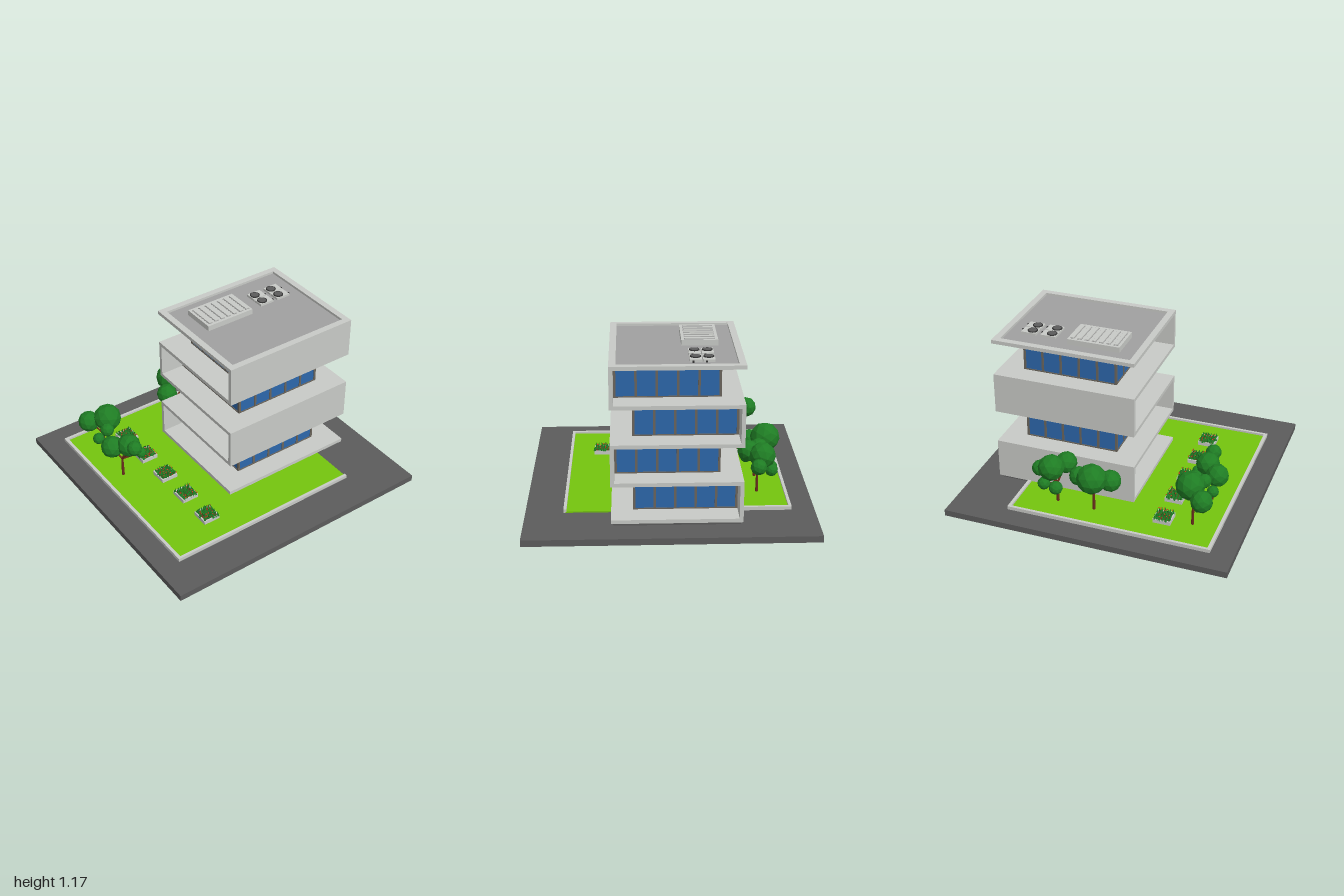
import * as THREE from 'three';

const mat = (name, color, flat = false) => {
  const m = new THREE.MeshStandardMaterial({ color, flatShading: flat });
  m.name = name;
  return m;
};

export function createModel() {
  const model = new THREE.Group();
  model.name = 'officeBuilding';
  const asphalt = mat('asphalt', 0x5c5c5c), concrete = mat('concrete', 0xc8cac6);
  const deckGrey = mat('roofGrey', 0xa0a0a0), grass = mat('grass', 0x74c40e);
  const glass = mat('glass', 0x2d67ab), frame = mat('windowFrame', 0x6b655c);
  const leaf = mat('foliage', 0x1f7d24, true), bark = mat('bark', 0x6b2f1c);
  const red = mat('flowerRed', 0xd83a1c, true), dark = mat('darkMetal', 0x343434);

  const add = (name, geo, material, parent = model) => {
    const m = new THREE.Mesh(geo, material);
    m.name = name;
    parent.add(m);
    return m;
  };
  // Box given by its minimum and maximum on each axis
  const box = (name, material, x0, x1, y0, y1, z0, z1, parent) => {
    const m = add(name, new THREE.BoxGeometry(x1 - x0, y1 - y0, z1 - z0), material, parent);
    m.position.set((x0 + x1) / 2, (y0 + y1) / 2, (z0 + z1) / 2);
    return m;
  };
  // Thin rod between two points
  const rod = (name, a, b, r0, r1, parent) => {
    const d = b.clone().sub(a);
    const m = add(name, new THREE.CylinderGeometry(r1, r0, d.length(), 7), bark, parent);
    m.position.copy(a).addScaledVector(d, 0.5);
    m.quaternion.setFromUnitVectors(new THREE.Vector3(0, 1, 0), d.normalize());
  };
  let seed = 7;
  const rand = () => (seed = (seed * 16807) % 2147483647) / 2147483647;

  // Site: paving, lawn and kerbs
  box('paving', asphalt, -1, 1, 0, 0.045, -0.97, 0.97);
  box('lawn', grass, -0.83, 0.6, 0.04, 0.055, -0.8, 0.705);
  box('kerbLeft', concrete, -0.84, -0.818, 0.04, 0.07, -0.815, 0.715);
  box('kerbFront', concrete, -0.818, 0.6, 0.04, 0.07, 0.695, 0.715);
  box('kerbBack', concrete, -0.818, 0.6, 0.04, 0.07, -0.815, -0.795);
  box('kerbRight', concrete, 0.578, 0.6, 0.04, 0.07, -0.795, -0.46);

  // Folded concrete ribbon: slabs joined alternately by back and front walls
  const X0 = -0.195, X1 = 0.82, Z0 = -0.47, Z1 = 0.395, T = 0.026;
  const levels = [0.09, 0.35, 0.613, 0.877];
  const roofTop = 1.138, roofBase = 1.112;
  box('plinth', asphalt, X0 + 0.015, X1 - 0.015, 0.045, 0.066, Z0 + 0.015, Z1 - 0.015);
  levels.forEach((y, i) => {
    const top = i < 3 ? levels[i + 1] - T : roofBase;
    box('floorSlab', concrete, X0, X1, y - T, y, Z0, Z1);
    if (i % 2) box('frontWall', concrete, X0, X1, y, top, Z1 - T, Z1);
    else box('backWall', concrete, X0, X1, y, top, Z0, Z0 + T);
    glazing(y, top, i % 2 ? -0.327 : Z0 + T, i % 2 ? Z1 - T : 0.25);
  });

  // Glazed storey with rails and evenly spaced mullions
  function glazing(y0, y1, z0, z1) {
    const g = new THREE.Group();
    g.name = 'glazedStorey';
    model.add(g);
    const x0 = -0.02, x1 = 0.655, p = 0.005, w = 0.008, n = 5;
    box('glass', glass, x0 + p, x1 - p, y0, y1, z0 + p, z1 - p, g);
    for (const [a, b] of [[y0, y0 + 0.008], [y1 - 0.008, y1]]) {
      for (const z of [z0, z1 - w]) box('rail', frame, x0, x1, a, b, z, z + w, g);
      for (const x of [x0, x1 - w]) box('rail', frame, x, x + w, a, b, z0, z1, g);
    }
    for (let i = 0; i <= n; i++) {
      const mx = x0 + w + (x1 - x0 - 2 * w) * i / n, mz = z0 + w + (z1 - z0 - 2 * w) * i / n;
      for (const z of [z0, z1 - w]) box('mullion', frame, mx - w, mx + w, y0, y1, z, z + w, g);
      for (const x of [x0, x1 - w]) box('mullion', frame, x, x + w, y0, y1, mz - w, mz + w, g);
    }
  }

  // Roof with raised rim
  const rim = 0.045;
  box('roofSlab', concrete, X0, X1, roofBase, 1.117, Z0, Z1);
  box('roofDeck', deckGrey, X0 + rim, X1 - rim, 1.117, 1.121, Z0 + rim, Z1 - rim);
  box('rimFront', concrete, X0, X1, 1.117, roofTop, Z1 - rim, Z1);
  box('rimBack', concrete, X0, X1, 1.117, roofTop, Z0, Z0 + rim);
  box('rimLeft', concrete, X1 - rim, X1, 1.117, roofTop, Z0 + rim, Z1 - rim);
  box('rimRight', concrete, X0, X0 + rim, 1.117, roofTop, Z0 + rim, Z1 - rim);

  // Louvred vent housing
  box('ventHousing', concrete, -0.04, 0.332, 1.121, 1.16, -0.325, -0.08);
  for (let i = 0; i < 7; i++) {
    const x = -0.006 + i * 0.0515;
    box('ventSlot', deckGrey, x - 0.015, x + 0.015, 1.158, 1.162, -0.305, -0.1);
    box('ventBlade', concrete, x - 0.011, x + 0.011, 1.16, 1.167, -0.301, -0.104);
  }

  // Cooling units with round fans
  for (const x of [0.435, 0.578]) for (const z of [-0.243, -0.158]) {
    box('coolingUnit', concrete, x, x + 0.108, 1.121, 1.137, z - 0.039, z + 0.039);
    const ring = add('fan', new THREE.CylinderGeometry(0.035, 0.035, 0.008, 20), dark);
    ring.position.set(x + 0.038, 1.138, z);
    const grille = add('fanGrille', new THREE.CylinderGeometry(0.028, 0.028, 0.002, 20), asphalt);
    grille.position.set(x + 0.038, 1.1425, z);
    box('coolingPipe', dark, x + 0.108, x + 0.122, 1.121, 1.132, z + 0.01, z + 0.022);
  }

  // Planters with leaves and flowers
  for (const z of [-0.572, -0.311, -0.05, 0.211, 0.472]) {
    const g = new THREE.Group();
    g.name = 'planter';
    g.position.set(-0.447, 0, z);
    model.add(g);
    const h = 0.062, t = 0.01;
    for (const s of [-1, 1]) {
      box('planterSide', concrete, s * (h - t / 2) - t / 2, s * (h - t / 2) + t / 2, 0.05, 0.083, -h, h, g);
      box('planterEnd', concrete, -h + t, h - t, 0.05, 0.083, s * (h - t / 2) - t / 2, s * (h - t / 2) + t / 2, g);
    }
    box('soil', bark, -h + t, h - t, 0.05, 0.077, -h + t, h - t, g);
    for (let i = 0; i < 6; i++) for (let j = 0; j < 6; j++) {
      const x = (i - 2.5) * 0.02 + (rand() - 0.5) * 0.008, pz = (j - 2.5) * 0.02 + (rand() - 0.5) * 0.008;
      const plant = add('plantLeaf', new THREE.ConeGeometry(0.011, 0.036, 4), leaf, g);
      plant.position.set(x, 0.093, pz);
      plant.rotation.set((rand() - 0.5) * 0.8, rand() * 3, (rand() - 0.5) * 0.8);
      if (rand() < 0.4) {
        const flower = add('flower', new THREE.OctahedronGeometry(0.006), red, g);
        flower.position.set(x + 0.008, 0.098, pz + 0.008);
      }
    }
  }

  // Trees: trunk position, then foliage balls as [x, y, z, radius]
  const trees = [
    [-0.645, -0.56, [[-0.615, 0.345, -0.54, 0.1], [-0.72, 0.3, -0.63, 0.077],
      [-0.745, 0.27, -0.45, 0.042], [-0.68, 0.33, -0.435, 0.05]]],
    [-0.685, -0.235, [[-0.73, 0.295, -0.29, 0.08], [-0.64, 0.32, -0.21, 0.083],
      [-0.65, 0.36, -0.115, 0.055], [-0.57, 0.235, -0.27, 0.05], [-0.56, 0.23, -0.185, 0.038]]],
    [0.04, -0.62, [[0.026, 0.345, -0.69, 0.105], [-0.07, 0.29, -0.59, 0.076],
      [0.138, 0.31, -0.635, 0.068], [0.1, 0.23, -0.55, 0.043]]],
    [0.31, -0.61, [[0.34, 0.335, -0.64, 0.092], [0.265, 0.34, -0.55, 0.076],
      [0.282, 0.225, -0.705, 0.048], [0.44, 0.29, -0.605, 0.056], [0.37, 0.24, -0.7, 0.045]]],
  ];
  for (const [x, z, balls] of trees) {
    const g = new THREE.Group();
    g.name = 'tree';
    model.add(g);
    const fork = new THREE.Vector3(x, 0.2, z);
    rod('trunk', new THREE.Vector3(x, 0.045, z), fork, 0.011, 0.008, g);
    for (const [bx, by, bz, r] of balls) {
      rod('branch', fork, new THREE.Vector3(bx, by, bz), 0.007, 0.004, g);
      const ball = add('foliage', new THREE.IcosahedronGeometry(r, 1), leaf, g);
      ball.position.set(bx, by, bz);
      ball.rotation.set(rand() * 6, rand() * 6, rand() * 6);
    }
  }
  return model;
}
